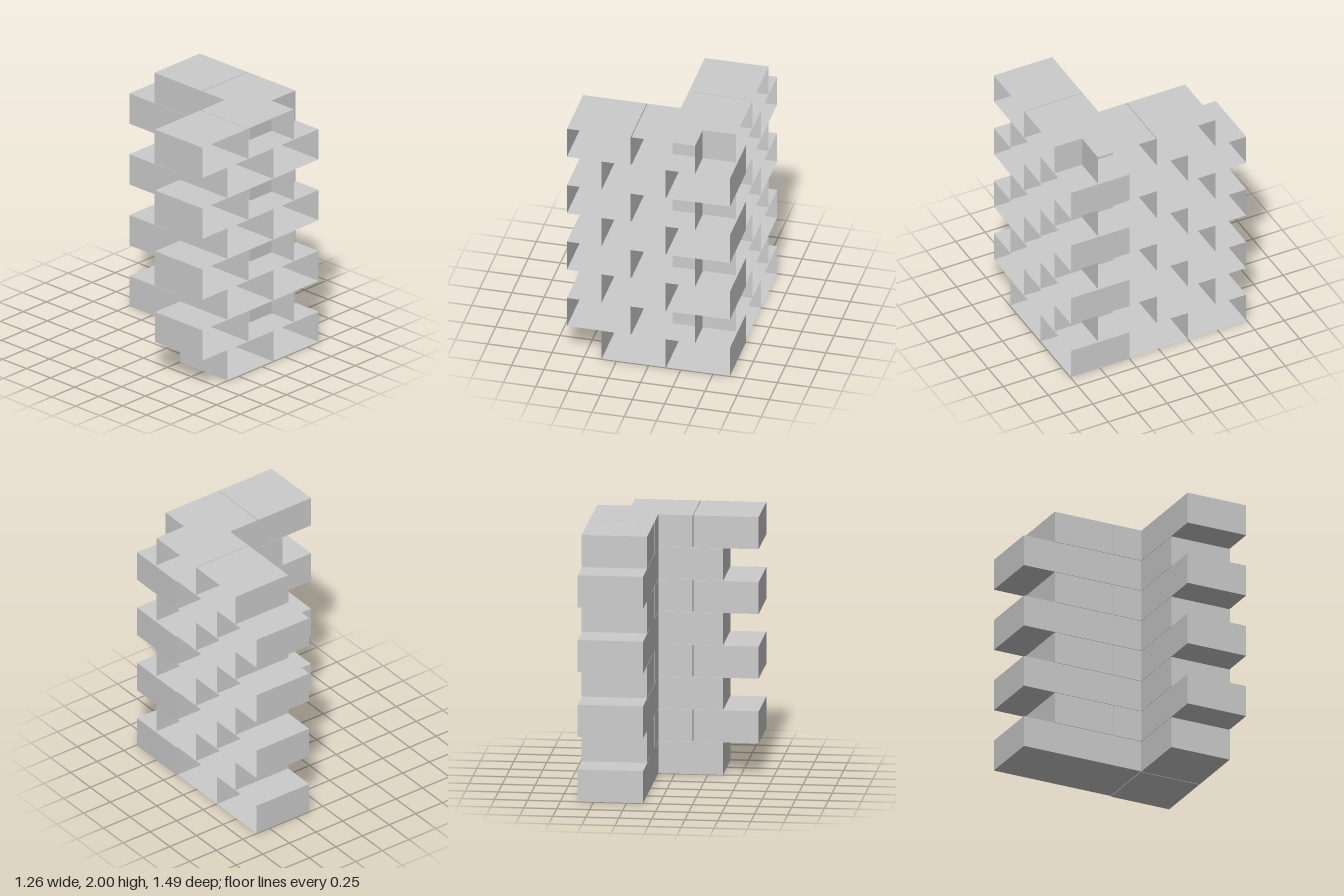
import * as THREE from 'three';

const material = new THREE.MeshStandardMaterial({ color: 0xcccccc, side: THREE.DoubleSide, flatShading: true });

const SIZE = 0.495;      // bricks are square in plan
const HEIGHT = 0.248;
const ROWS = 8;
const PITCH = (2 - HEIGHT) / (ROWS - 1);

// Box with its outer wall left open: face 0 is +x, face 4 is +z
function openBrick(openFace) {
  const geometry = new THREE.BoxGeometry(SIZE, HEIGHT, SIZE);
  const index = Array.from(geometry.index.array);
  index.splice(openFace * 6, 6);
  geometry.setIndex(index);
  geometry.clearGroups();
  return geometry;
}

export function createModel() {
  const model = new THREE.Group();
  model.name = 'cornerBrickwork';

  const frontOpen = openBrick(4);
  const sideOpen = openBrick(0);

  // Each brick: name, geometry, centre x, centre z
  const frontZ = 0.4975, sideX = 0.3725;
  const evenCourse = [
    ['cornerBrick', frontOpen, 0.3825, frontZ],
    ['frontBrick', frontOpen, -0.1175, frontZ],
    ['sideBrick', sideOpen, sideX, -0.0025],
    ['sideEndBrick', sideOpen, sideX, -0.4975],
  ];
  const oddCourse = [
    ['frontEndBrick', frontOpen, -0.3875, frontZ],
    ['frontBrick', frontOpen, 0.1125, frontZ],
    ['sideBrick', sideOpen, sideX, 0.2645],
    ['sideEndBrick', sideOpen, sideX, -0.236],
  ];

  // Alternate the two courses up the corner
  for (let row = 0; row < ROWS; row++) {
    const course = new THREE.Group();
    course.name = `course${row + 1}`;
    course.position.y = row * PITCH + HEIGHT / 2;
    for (const [name, geometry, x, z] of row % 2 ? oddCourse : evenCourse) {
      const brick = new THREE.Mesh(geometry, material);
      brick.name = name;
      brick.position.set(x, 0, z);
      course.add(brick);
    }
    model.add(course);
  }
  return model;
}
